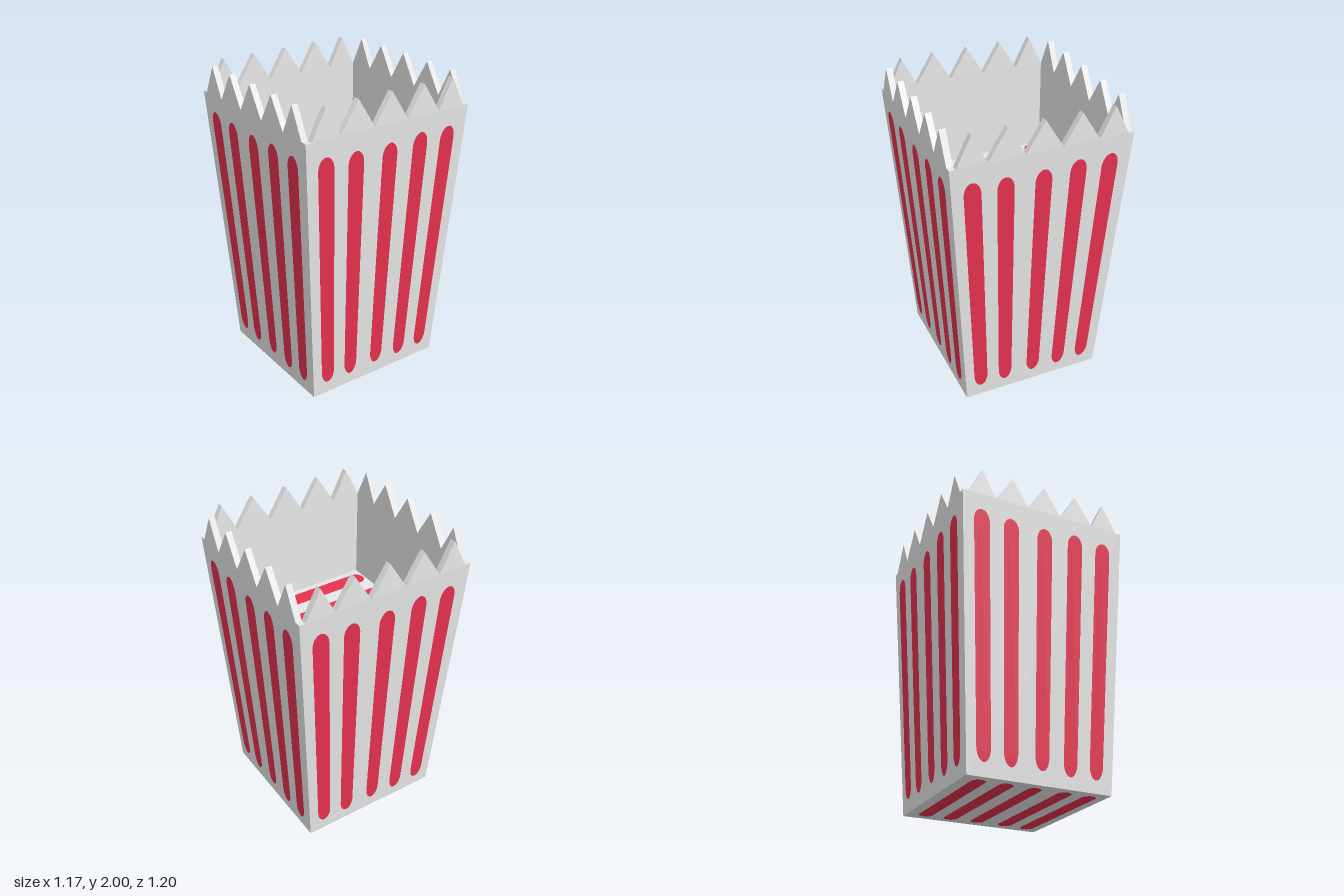
import * as THREE from 'three';

const H = 1.81, PEAK = 2, FLOOR = 1.2, WALL = 0.04;
const TOP = [0.585, 0.6], BASE = [0.475, 0.49]; // half sizes in x and z

// four corners of a level rectangle, anticlockwise from above, front left first
const ring = ([hx, hz], y) => [[-1, 1], [1, 1], [1, -1], [-1, -1]]
  .map(([sx, sz]) => new THREE.Vector3(sx * hx, y, sz * hz));

// flat-shaded mesh from a list of four-cornered faces
function quadGeometry(quads) {
  const pts = quads.flatMap(([a, b, c, d]) => [a, b, c, a, c, d]);
  const geo = new THREE.BufferGeometry().setFromPoints(pts);
  geo.computeVertexNormals();
  return geo;
}

// stripe with round ends, in face coordinates from -1 to 1
function stripeShape(u, bottom, top, r = 0.095) {
  const s = new THREE.Shape();
  s.moveTo(u - r, bottom + r);
  s.absarc(u, bottom + r, r, Math.PI, 2 * Math.PI, false);
  s.lineTo(u + r, top - r);
  s.absarc(u, top - r, r, 0, Math.PI, false);
  return s;
}

const STRIPES = [
  [-0.777, -0.906, 0.88], [-0.418, -0.912, 0.868], [0.003, -0.906, 0.862],
  [0.395, -0.917, 0.88], [0.762, -0.912, 0.873],
];

// all five stripes stretched over a face [bottomLeft, bottomRight, topRight, topLeft]
function stripesOn([bl, br, tr, tl]) {
  const geo = new THREE.ShapeGeometry(STRIPES.map((s) => stripeShape(...s)), 10);
  const normal = br.clone().sub(bl).cross(tl.clone().sub(bl)).normalize();
  const pos = geo.attributes.position;
  for (let i = 0; i < pos.count; i++) {
    const u = (pos.getX(i) + 1) / 2, v = (pos.getY(i) + 1) / 2;
    const p = bl.clone().lerp(br, u).lerp(tl.clone().lerp(tr, u), v).addScaledVector(normal, 0.003);
    pos.setXYZ(i, p.x, p.y, p.z);
  }
  geo.computeVertexNormals();
  return geo;
}

export function createModel() {
  const model = new THREE.Group();
  const paper = new THREE.MeshStandardMaterial({ color: 0xe8e8e8 });
  paper.name = 'white paper';
  const red = new THREE.MeshStandardMaterial({ color: 0xe8324f });
  red.name = 'red stripe';
  const add = (geo, mat, name, parent = model) => {
    const mesh = new THREE.Mesh(geo, mat);
    mesh.name = name;
    parent.add(mesh);
    return mesh;
  };

  // tapered carton: outer walls, rim, upright inner walls, raised floor and underside
  const inner = TOP.map((h) => h - WALL);
  const rings = [ring(BASE, 0), ring(TOP, H), ring(inner, H), ring(inner, FLOOR)];
  const quads = [];
  for (let k = 0; k < 3; k++) {
    for (let i = 0; i < 4; i++) {
      const j = (i + 1) % 4;
      quads.push([rings[k][i], rings[k][j], rings[k + 1][j], rings[k + 1][i]]);
    }
  }
  const [b0, b1, b2, b3] = rings[0];
  const underside = [b1, b0, b3, b2];
  quads.push(rings[3], underside);
  add(quadGeometry(quads), paper, 'carton');

  // painted stripes on the four sides, the underside and the inner floor
  ['front', 'left', 'back', 'right'].forEach((side, i) => add(stripesOn(quads[i]), red, side + 'Stripes'));
  add(stripesOn(underside), red, 'undersideStripes');
  add(stripesOn(ring(TOP, FLOOR)), red, 'floorStripes');

  // row of pointed teeth along each rim edge
  const valleys = [-1, -0.65, -0.217, 0.217, 0.65, 1];
  const peaks = [-0.826, -0.43, 0, 0.43, 0.826];
  ['front', 'left', 'back', 'right'].forEach((side, i) => {
    const half = inner[i % 2], out = inner[(i + 1) % 2];
    const row = new THREE.Group();
    row.name = side + 'Teeth';
    row.rotation.y = i * Math.PI / 2;
    peaks.forEach((p, k) => {
      const shape = new THREE.Shape([
        new THREE.Vector2(valleys[k] * half, H),
        new THREE.Vector2(valleys[k + 1] * half, H),
        new THREE.Vector2(p * half, PEAK),
      ]);
      const geo = new THREE.ExtrudeGeometry(shape, { depth: WALL, bevelEnabled: false });
      add(geo, paper, 'tooth', row).position.z = out;
    });
    model.add(row);
  });

  return model;
}
